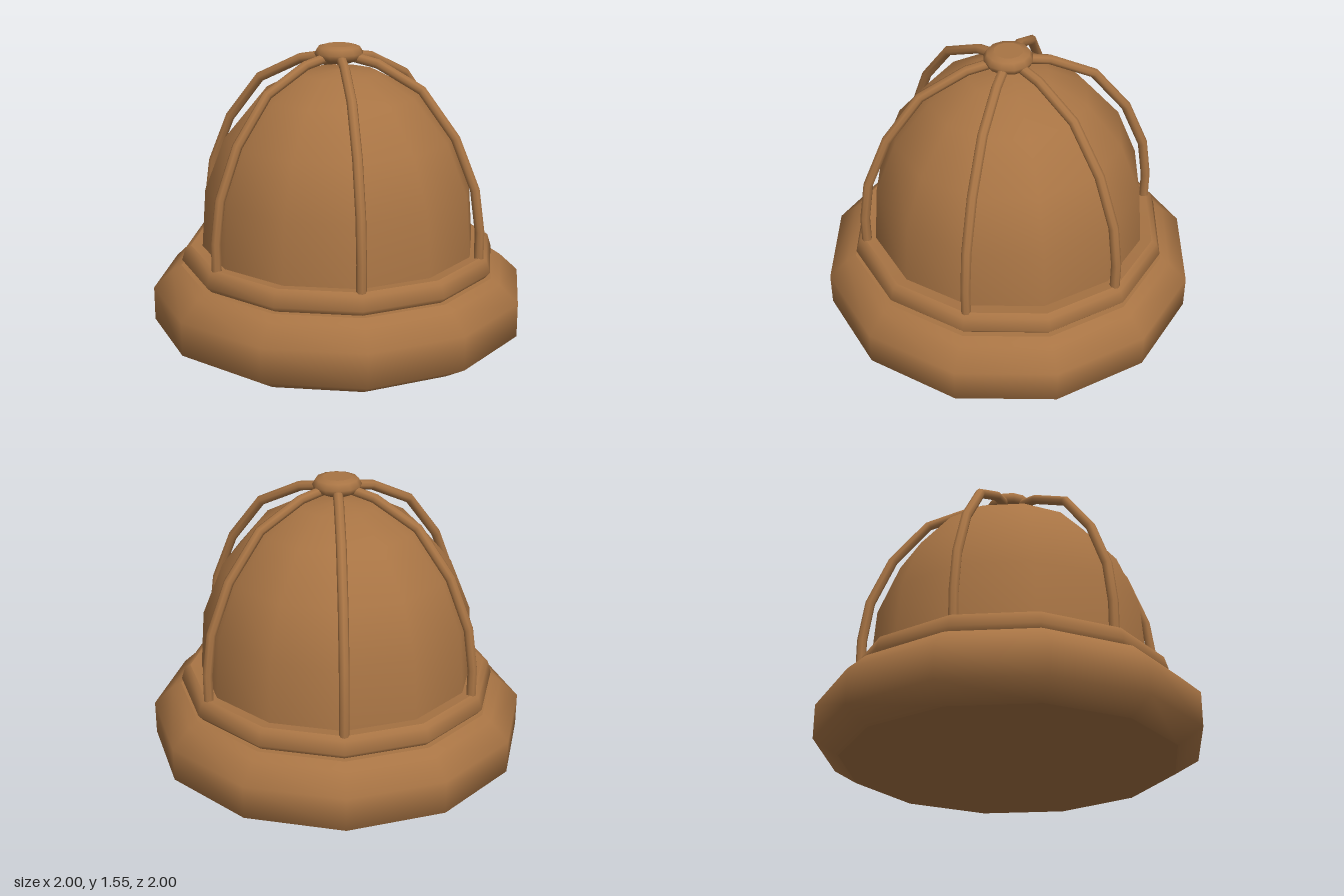
import * as THREE from 'three';

const SIDES = 12;

// Curve with straight runs between evenly indexed points, so each bend stays crisp
class BentRod extends THREE.Curve {
  constructor(points) {
    super();
    this.points = points;
  }
  getPoint(t, target = new THREE.Vector3()) {
    const n = this.points.length - 1;
    const s = Math.min(Math.max(t, 0), 1) * n;
    const i = Math.min(Math.floor(s), n - 1);
    return target.lerpVectors(this.points[i], this.points[i + 1], s - i);
  }
  getPointAt(u, target) { return this.getPoint(u, target); }
  getTangentAt(u, target) { return this.getTangent(u, target); }
}

export function createModel() {
  const model = new THREE.Group();
  model.name = 'cagedDome';
  const brown = new THREE.MeshStandardMaterial({ color: 0xa87444 });
  brown.name = 'warm brown';

  const add = (name, geometry, parent = model) => {
    const mesh = new THREE.Mesh(geometry, brown);
    mesh.name = name;
    parent.add(mesh);
    return mesh;
  };
  const turned = (name, profile, sides = SIDES) =>
    add(name, new THREE.LatheGeometry(profile.map(([r, y]) => new THREE.Vector2(r, y)), sides));

  // Broad foot with bevelled rims
  turned('base', [[0.87, 0], [1, 0.08], [1, 0.26], [0.9, 0.355], [0.85, 0.38]]);
  turned('baseTop', [[0.85, 0.38], [0.7, 0.38]]);
  turned('baseBottom', [[0, 0], [0.87, 0]]);

  // Collar around the dome
  turned('collar', [[0.815, 0.375], [0.845, 0.41], [0.825, 0.475], [0.795, 0.49]]);
  turned('collarTop', [[0.795, 0.49], [0.7, 0.48]]);

  // Dome
  turned('dome', [[0.735, 0.47], [0.71, 0.8], [0.6, 1.075], [0.415, 1.295], [0.21, 1.405], [0, 1.425]]);

  // Six bent ribs forming the cage
  const rodPoints = [[0.782, 0.475], [0.782, 0.63], [0.75, 0.85], [0.64, 1.11],
    [0.455, 1.345], [0.215, 1.465], [0.03, 1.5]].map(([x, y]) => new THREE.Vector3(x, y, 0));
  const rod = new THREE.TubeGeometry(new BentRod(rodPoints), rodPoints.length - 1, 0.026, 8);
  const cage = new THREE.Group();
  cage.name = 'cage';
  model.add(cage);
  for (let i = 0; i < 6; i++) add('rib' + (i + 1), rod, cage).rotation.y = i * Math.PI / 3;

  // Knob where the ribs meet
  turned('knob', [[0, 1.455], [0.07, 1.46], [0.115, 1.48], [0.128, 1.51], [0.11, 1.54], [0.075, 1.55]]);
  turned('knobTop', [[0.075, 1.55], [0, 1.55]]);

  return model;
}
